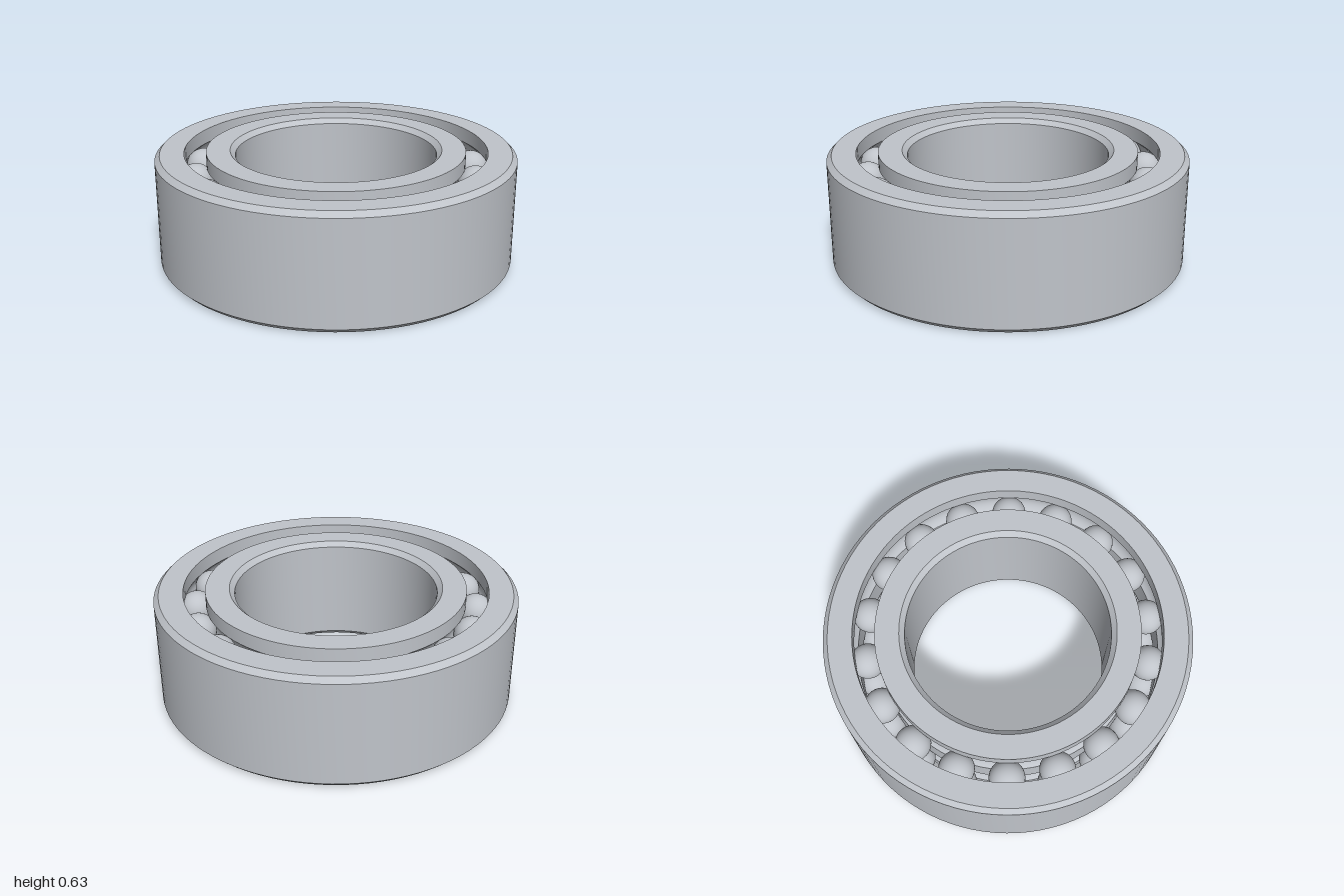
import * as THREE from 'three';
import { toCreasedNormals } from 'three/addons/utils/BufferGeometryUtils.js';

const HEIGHT = 0.635, CHAMFER = 0.028;
const ROWS = [HEIGHT * 0.25, HEIGHT * 0.75];
const PITCH = 0.78, BALL_R = 0.097, BALLS = 18;

// Race wall at radius r, listed bottom to top, with a round groove for each ball row
function raceWall(r) {
  const offset = Math.abs(r - PITCH), side = Math.sign(r - PITCH);
  const half = Math.acos(offset / BALL_R), steps = 10;
  const points = [[r, 0]];
  for (const y of ROWS) {
    for (let i = 0; i <= steps; i++) {
      const a = -half + (2 * half * i) / steps;
      points.push([PITCH + side * BALL_R * Math.cos(a), y + BALL_R * Math.sin(a)]);
    }
  }
  points.push([r, HEIGHT]);
  return points;
}

// Chamfered plain wall, listed bottom to top; dir is +1 for an outside wall
function plainWall(r, dir) {
  const inset = r - dir * CHAMFER;
  return [[inset, 0], [r, CHAMFER], [r, HEIGHT - CHAMFER], [inset, HEIGHT]];
}

// Closed ring: up the outside wall, down the inside wall
function makeRing(name, outside, inside, material) {
  const profile = [...outside, ...inside.reverse(), outside[0]].map(([x, y]) => new THREE.Vector2(x, y));
  const geometry = toCreasedNormals(new THREE.LatheGeometry(profile, 96), 0.5);
  const mesh = new THREE.Mesh(geometry, material);
  mesh.name = name;
  return mesh;
}

export function createModel() {
  const steel = new THREE.MeshStandardMaterial({ color: 0xc0c4ca });
  steel.name = 'steel';

  const model = new THREE.Group();
  model.name = 'ballBearing';
  model.add(makeRing('outerRing', plainWall(1, 1), raceWall(0.84), steel));
  model.add(makeRing('innerRing', raceWall(0.72), plainWall(0.56, -1), steel));

  // Two rows of balls
  const ball = new THREE.SphereGeometry(BALL_R, 32, 20);
  ROWS.forEach((y, row) => {
    const group = new THREE.Group();
    group.name = row ? 'upperBallRow' : 'lowerBallRow';
    for (let i = 0; i < BALLS; i++) {
      const a = (i / BALLS) * Math.PI * 2;
      const mesh = new THREE.Mesh(ball, steel);
      mesh.name = 'ball';
      mesh.position.set(PITCH * Math.cos(a), y, PITCH * Math.sin(a));
      group.add(mesh);
    }
    model.add(group);
  });
  return model;
}
